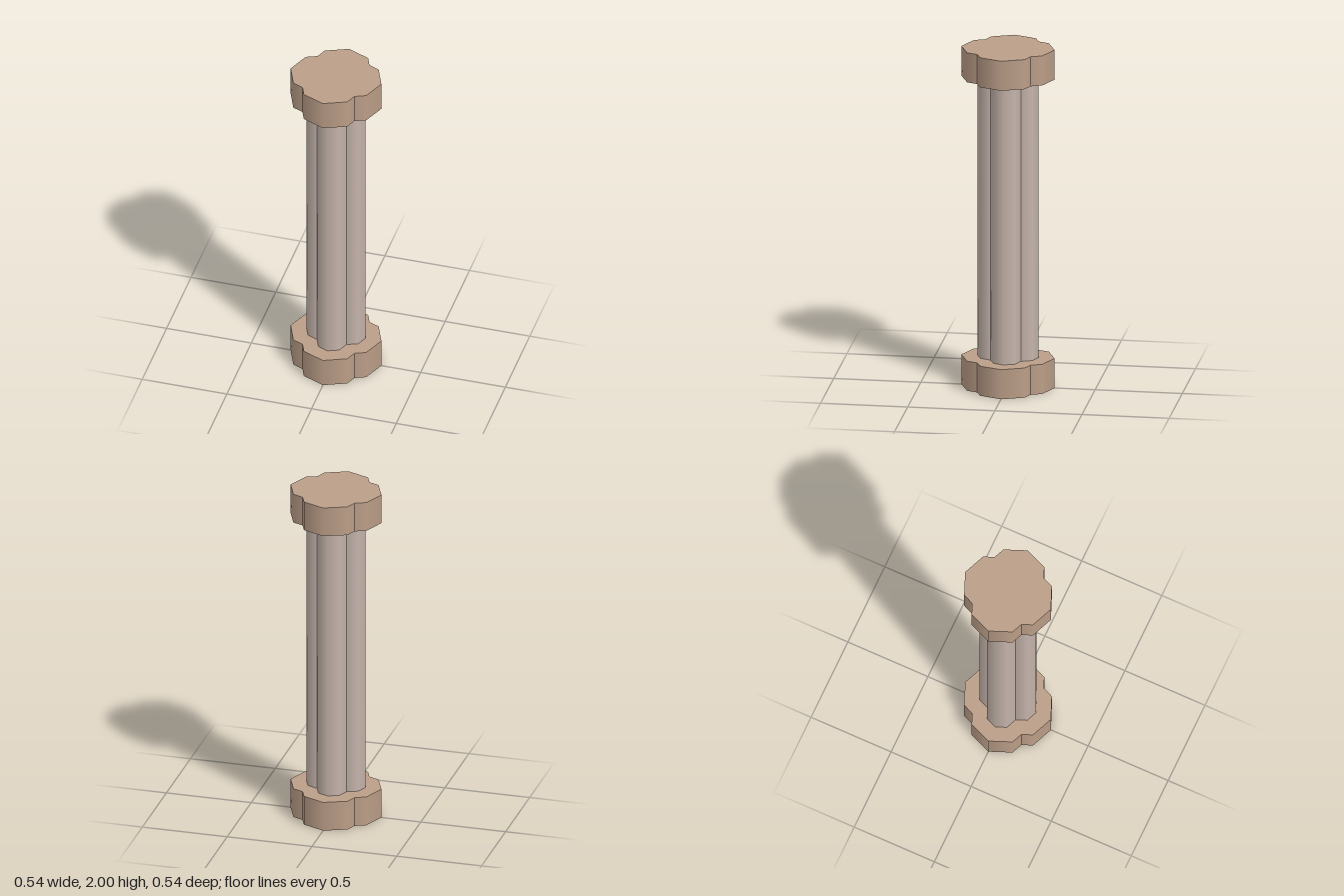
import * as THREE from 'three';

// Four overlapping eight-sided cylinders, one on each side of the axis
function cluster(name, radius, offset, bottom, top, material) {
  const group = new THREE.Group();
  group.name = name;
  const geometry = new THREE.CylinderGeometry(radius, radius, top - bottom, 8);
  for (let i = 0; i < 4; i++) {
    const angle = (i * Math.PI) / 2;
    const lobe = new THREE.Mesh(geometry, material);
    lobe.name = `${name}Lobe${i + 1}`;
    lobe.position.set(Math.sin(angle) * offset, (bottom + top) / 2, Math.cos(angle) * offset);
    group.add(lobe);
  }
  return group;
}

export function createModel() {
  const stone = new THREE.MeshStandardMaterial({ color: 0xbb9e88 });
  stone.name = 'tan stone';
  const paleStone = new THREE.MeshStandardMaterial({ color: 0xc5b4ab });
  paleStone.name = 'pale stone';

  const column = new THREE.Group();
  column.name = 'column';
  column.add(
    cluster('base', 0.181, 0.087, 0, 0.175, stone),
    cluster('shaft', 0.087, 0.087, 0.175, 1.825, paleStone),
    cluster('capital', 0.181, 0.087, 1.825, 2, stone),
  );
  return column;
}
